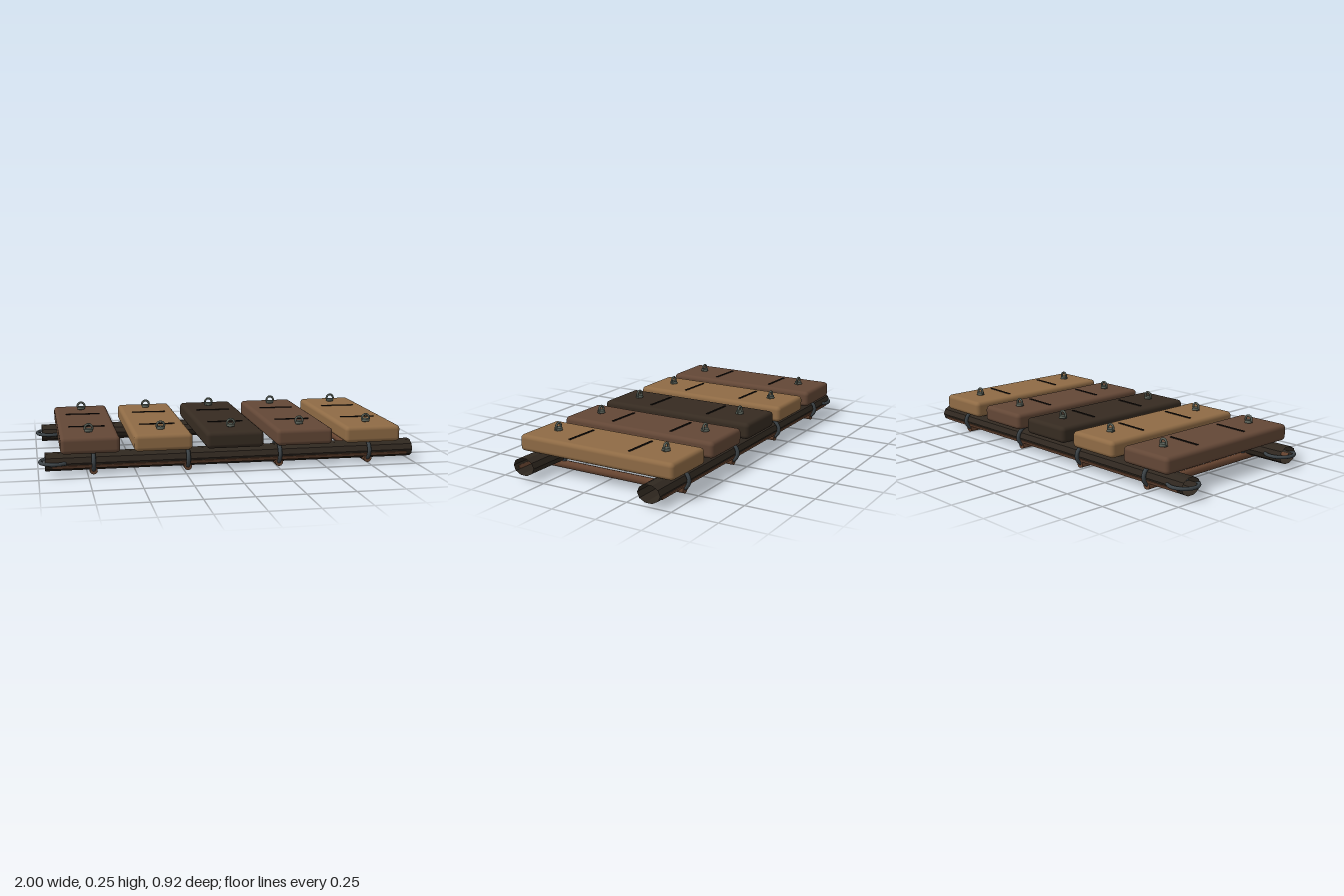
import * as THREE from 'three';
import { RoundedBoxGeometry } from 'three/addons/geometries/RoundedBoxGeometry.js';

const mat = (name, color, extra = {}) => {
  const m = new THREE.MeshStandardMaterial({ color, ...extra });
  m.name = name;
  return m;
};

export function createModel() {
  const model = new THREE.Group();
  model.name = 'plankWalkway';

  const brown = mat('brownWood', 0x634736);
  const tan = mat('tanWood', 0x8f6b45);
  const dark = mat('darkWood', 0x362b21);
  const bark = mat('bark', 0x302820, { side: THREE.DoubleSide, flatShading: true });
  const rungWood = mat('rungWood', 0x664430);
  const iron = mat('iron', 0x3c4347);
  const bolt = mat('boltMetal', 0x5b6259);
  const black = mat('crackBlack', 0x17120e);

  const add = (name, geometry, material, x, y, z, parent = model) => {
    const mesh = new THREE.Mesh(geometry, material);
    mesh.name = name;
    mesh.position.set(x, y, z);
    parent.add(mesh);
    return mesh;
  };

  // Shared shapes
  const plankGeo = new RoundedBoxGeometry(0.305, 0.088, 0.922, 3, 0.022);
  const blockGeo = new RoundedBoxGeometry(0.11, 0.04, 0.11, 2, 0.012);
  const crackGeo = new THREE.BoxGeometry(0.19, 0.008, 0.011);
  const washerGeo = new THREE.CylinderGeometry(0.02, 0.022, 0.014, 12);
  const eyeGeo = new THREE.TorusGeometry(0.02, 0.006, 8, 20);
  const railGeo = new THREE.CylinderGeometry(0.064, 0.064, 1.965, 10, 1, true);
  railGeo.rotateZ(Math.PI / 2).scale(1, 0.74, 1);
  const stripGeo = new THREE.BoxGeometry(1.9, 0.018, 0.008);
  const hoopGeo = new THREE.TorusGeometry(0.076, 0.011, 8, 28);
  hoopGeo.rotateY(Math.PI / 2).scale(1, 0.77, 1);
  const endRingGeo = new THREE.TorusGeometry(0.076, 0.01, 8, 28);
  endRingGeo.rotateX(Math.PI / 2);
  const rungGeo = new THREE.CylinderGeometry(0.021, 0.021, 0.854, 10);
  rungGeo.rotateX(Math.PI / 2);

  // Planks with cracks, eye bolts and spacer blocks
  [brown, tan, dark, brown, tan].forEach((wood, i) => {
    const unit = new THREE.Group();
    unit.name = 'plankUnit' + (i + 1);
    unit.position.x = 0.016 + (i - 2) * 0.376;
    model.add(unit);
    add('plank', plankGeo, wood, 0, 0.159, 0, unit);
    for (const s of [1, -1]) {
      add('crack', crackGeo, black, 0, 0.203, s * 0.18, unit).rotation.y = -0.05;
      add('washer', washerGeo, bolt, 0, 0.214, s * 0.328, unit);
      add('boltEye', eyeGeo, bolt, 0, 0.225, s * 0.328, unit);
      add('spacerBlock', blockGeo, brown, 0, 0.105, s * 0.33, unit);
    }
  });

  // Hollow rails with a bark strip on the outside and a ring at the end
  for (const s of [1, -1]) {
    add('rail', railGeo, bark, 0.0175, 0.065, s * 0.375);
    add('railStrip', stripGeo, rungWood, 0.02, 0.046, s * 0.43).rotation.x = s * 0.4;
    add('endRing', endRingGeo, iron, -0.914, 0.065, s * 0.374);
  }

  // Rungs below, bound to the rails by hoops
  for (const x of [-0.72, -0.23, 0.26, 0.753]) {
    add('rung', rungGeo, rungWood, x, 0.021, 0);
    for (const s of [1, -1]) add('hoop', hoopGeo, iron, x, 0.068, s * 0.373);
  }
  return model;
}
